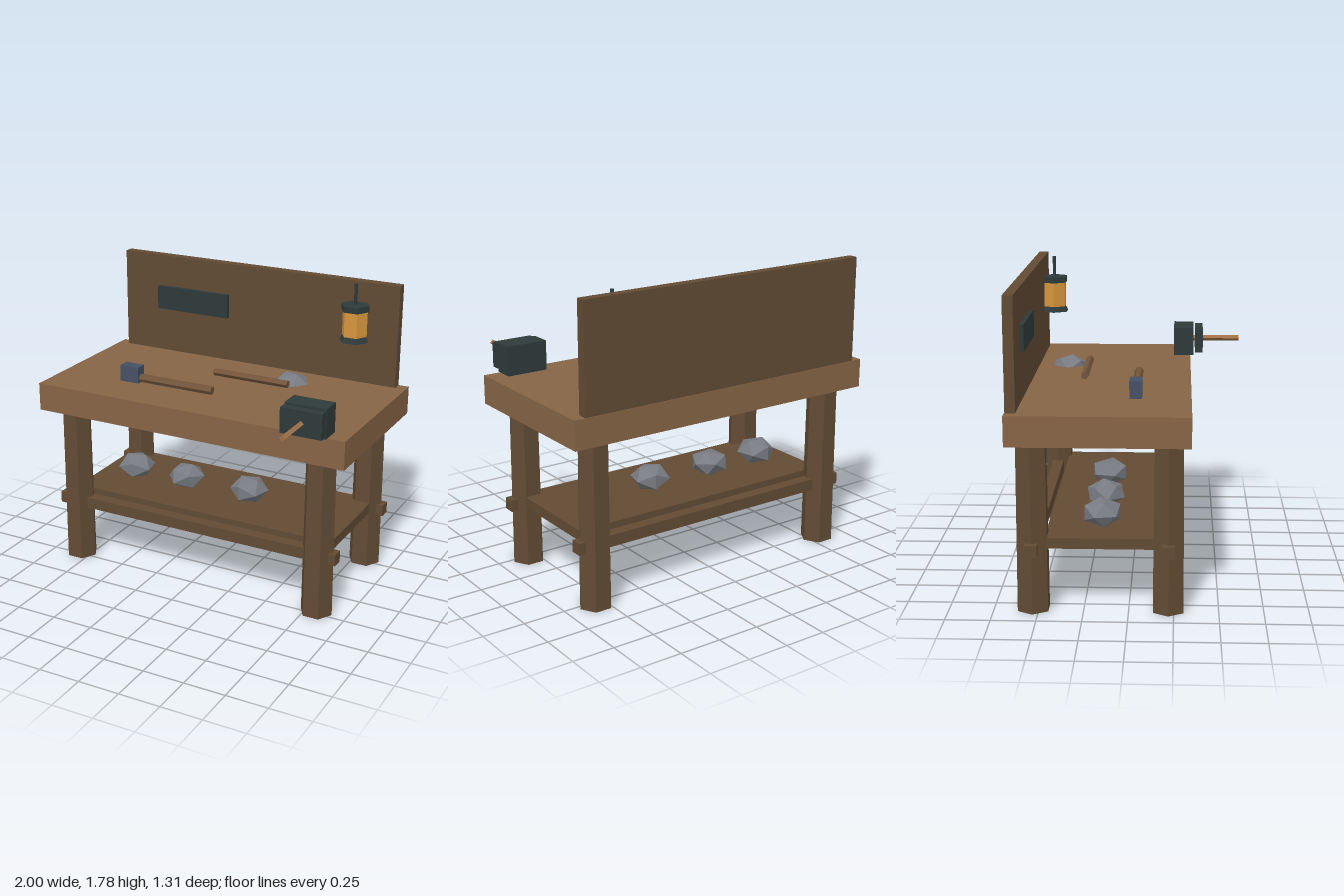
import * as THREE from 'three';

const mat = (name, color) => {
  const m = new THREE.MeshStandardMaterial({ color, flatShading: true });
  m.name = name;
  return m;
};

export function createModel() {
  const lightWood = mat('light wood', 0x866445);
  const darkWood = mat('dark wood', 0x624b34);
  const handleWood = mat('handle wood', 0x72543a);
  const copper = mat('copper wood', 0xa0714a);
  const iron = mat('iron', 0x2e3a3a);
  const steel = mat('blue steel', 0x465064);
  const glass = mat('amber glass', 0xd6953c);
  const stone = mat('stone', 0x787b82);

  const model = new THREE.Group();
  model.name = 'workbench';

  const add = (name, geometry, material, x = 0, y = 0, z = 0, parent = model) => {
    const mesh = new THREE.Mesh(geometry, material);
    mesh.name = name;
    mesh.position.set(x, y, z);
    parent.add(mesh);
    return mesh;
  };
  // Box given by its limits on each axis
  const box = (name, material, [x0, x1], [y0, y1], [z0, z1]) =>
    add(name, new THREE.BoxGeometry(x1 - x0, y1 - y0, z1 - z0), material,
      (x0 + x1) / 2, (y0 + y1) / 2, (z0 + z1) / 2);
  // Hexagonal prism with corners on the x axis
  const hex = (rTop, rBottom, h) => new THREE.CylinderGeometry(rTop, rBottom, h, 6).rotateY(Math.PI / 6);

  // Bench top and backboard
  box('benchTop', lightWood, [-1, 1], [0.98, 1.15], [-0.655, 0.34]);
  box('backboard', darkWood, [-0.935, 0.935], [1.15, 1.777], [-0.652, -0.595]);
  box('wallPlate', iron, [-0.69, -0.19], [1.43, 1.58], [-0.596, -0.571]);

  // Legs and long rails whose ends pass through them
  for (const z of [0.22, -0.53]) {
    for (const x of [-0.815, 0.815]) add('leg', hex(0.092, 0.098, 0.98), darkWood, x, 0.49, z);
    box('rail', darkWood, [-0.935, 0.935], [0.34, 0.41], [z - 0.035, z + 0.035]);
  }
  box('shelf', darkWood, [-0.865, 0.865], [0.37, 0.432], [-0.46, 0.155]);

  // Ore lumps
  const rock = (x, y, z, r, flat, rx, ry, rz) => {
    const g = new THREE.IcosahedronGeometry(r, 0).rotateX(rx).rotateZ(rz).rotateY(ry).scale(1, flat, 1);
    add('rock', g, stone, x, y, z);
  };
  rock(-0.62, 0.503, -0.155, 0.12, 0.69, 0, 0.2, 0);
  rock(-0.255, 0.503, -0.155, 0.12, 0.66, 0.1, 0.7, 0.25);
  rock(0.185, 0.503, -0.155, 0.12, 0.69, 0, -0.25, 0);
  rock(0.335, 1.14, -0.41, 0.115, 0.6, 0.35, 0.5, 0.3);

  // Hammer and loose rod lying on the bench
  box('hammerHead', steel, [-0.59, -0.465], [1.15, 1.25], [-0.005, 0.065]);
  const rod = (name, sides, r, x0, x1, y, z) =>
    add(name, new THREE.CylinderGeometry(r, r, x1 - x0, sides).rotateZ(Math.PI / 2), handleWood, (x0 + x1) / 2, y, z);
  rod('hammerHandle', 6, 0.026, -0.5, 0.025, 1.178, 0.031);
  rod('looseRod', 5, 0.024, -0.125, 0.37, 1.177, -0.285);

  // Vise: fixed block, moving jaw and screw handle
  box('viseBody', iron, [0.645, 0.895], [1.15, 1.325], [0.235, 0.36]);
  box('viseJaw', iron, [0.645, 0.895], [1.165, 1.315], [0.371, 0.42]);
  add('viseScrew', new THREE.CylinderGeometry(0.018, 0.018, 0.305, 4).rotateX(Math.PI / 2), copper, 0.771, 1.24, 0.5025);

  // Hanging lantern
  const lantern = new THREE.Group();
  lantern.name = 'lantern';
  lantern.position.set(0.683, 0, -0.533);
  model.add(lantern);
  add('lanternBase', hex(0.073, 0.093, 0.037), iron, 0, 1.4465, 0, lantern);
  add('lanternGlass', hex(0.079, 0.079, 0.155), glass, 0, 1.5395, 0, lantern);
  add('lanternCap', hex(0.088, 0.088, 0.037), iron, 0, 1.6335, 0, lantern);
  add('lanternHook', hex(0.011, 0.011, 0.125), iron, 0, 1.7145, 0, lantern);

  return model;
}
